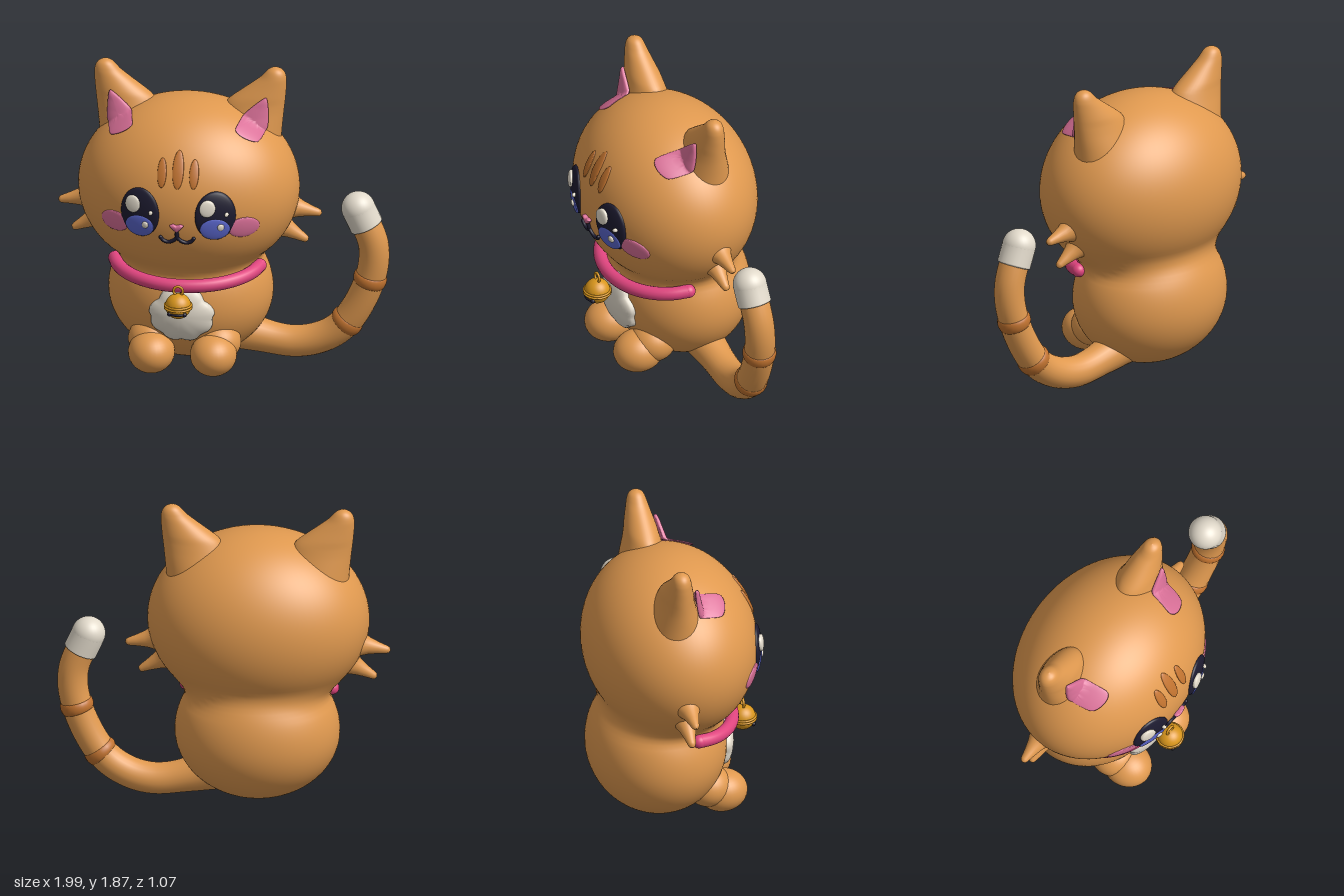
import * as THREE from 'three';
import { mergeVertices } from 'three/addons/utils/BufferGeometryUtils.js';

const mat = (name, color) => Object.assign(new THREE.MeshStandardMaterial({ color }), { name });
const M = {
  fur: mat('orangeFur', 0xe0994f), stripe: mat('darkOrange', 0xc0722f), white: mat('cream', 0xe2dacb),
  pink: mat('softPink', 0xda7098), collar: mat('collarPink', 0xe0457f), dark: mat('darkNavy', 0x1d1b30),
  blue: mat('irisBlue', 0x5a66cc), gold: mat('gold', 0xd9961c),
};
const V = (x, y, z) => new THREE.Vector3(x, y, z);

function mesh(parent, name, geo, material) {
  const m = new THREE.Mesh(geo, material);
  m.name = name;
  parent.add(m);
  return m;
}

// Weld seams and recompute normals after moving vertices
function smooth(geo) {
  geo.deleteAttribute('uv');
  geo.deleteAttribute('normal');
  const g = mergeVertices(geo, 1e-5);
  g.computeVertexNormals();
  return g;
}

const smax = (a, b, k) => {
  const h = Math.max(k - Math.abs(a - b), 0) / k;
  return Math.max(a, b) + h * h * k / 4;
};
const arc = (y, c, r) => Math.sqrt(Math.max(0, 1 - ((y - c) / r) ** 2));

// Head and body silhouette: two ellipsoids softly joined at the neck
function bodySection(y) {
  const h = arc(y, 1.13, 0.56), b = arc(y, 0.44, y < 0.44 ? 0.42 : 0.46);
  const end = Math.min(1, (y - 0.02) / 0.1, (1.69 - y) / 0.1);
  const k = 0.001 + 0.11 * Math.max(0, end);
  const rx = smax(0.665 * h, 0.495 * b, k);
  const front = smax(h > 0 ? 0.52 * h - 0.017 : -1, b > 0 ? 0.42 * b - 0.1 : -1, k);
  const back = smax(h > 0 ? 0.52 * h + 0.017 : -1, b > 0 ? 0.42 * b + 0.1 : -1, k);
  if (h === 0 && b === 0) return { x: 0, rx: 0, z: y > 1 ? -0.017 : -0.1, rz: 0 };
  return { x: 0, rx, z: (front - back) / 2, rz: (front + back) / 2 };
}

// Ear rows: y, outer x, inner x, half depth
const EAR = [
  [1.25, 0.5, 0.1, 0.2], [1.4, 0.545, 0.12, 0.17], [1.5, 0.553, 0.15, 0.145], [1.6, 0.563, 0.19, 0.115],
  [1.66, 0.57, 0.225, 0.1], [1.69, 0.573, 0.262, 0.095], [1.76, 0.579, 0.355, 0.075], [1.81, 0.58, 0.42, 0.062],
  [1.84, 0.573, 0.447, 0.053], [1.86, 0.56, 0.465, 0.043], [1.873, 0.54, 0.485, 0.026], [1.88, 0.512, 0.512, 0],
];
function earSection(y, s) {
  let i = 0;
  while (i < EAR.length - 2 && y > EAR[i + 1][0]) i++;
  const a = EAR[i], b = EAR[i + 1], t = THREE.MathUtils.clamp((y - a[0]) / (b[0] - a[0]), 0, 1);
  const [o, n, d] = [1, 2, 3].map((j) => a[j] + (b[j] - a[j]) * t);
  return { x: s * (o + n) / 2, rx: (o - n) / 2, z: -0.08, rz: d };
}

// Sphere vertices moved onto stacked elliptical sections
function loft(section, y0, y1, nu, nv) {
  const g = new THREE.SphereGeometry(1, nu, nv), p = g.attributes.position;
  for (let i = 0; i < p.count; i++) {
    const y = y0 + (y1 - y0) * (p.getY(i) + 1) / 2, c = section(y);
    const l = Math.hypot(p.getX(i), p.getZ(i));
    const dx = l > 1e-6 ? p.getX(i) / l : 0, dz = l > 1e-6 ? p.getZ(i) / l : 0;
    p.setXYZ(i, c.x + c.rx * dx, y, c.z + c.rz * dz);
  }
  return smooth(g);
}

// Front z of a lofted form at (x, y)
const frontZ = (c, x) => (Math.abs(x - c.x) < c.rx ? c.z + c.rz * arc(x, c.x, c.rx) : -1);
const skin = (x, y) => frontZ(bodySection(y), x);

// Pillow that follows a surface; outline(t) gives offsets, counterclockwise
const oval = (rx, ry) => (t) => [rx * Math.cos(t * 2 * Math.PI), ry * Math.sin(t * 2 * Math.PI)];
function pad(cx, cy, outline, thick, lift = 0, surf = skin) {
  const g = new THREE.SphereGeometry(1, 48, 20).rotateX(Math.PI / 2), p = g.attributes.position;
  for (let i = 0; i < p.count; i++) {
    const px = p.getX(i), py = p.getY(i), pz = p.getZ(i), s = Math.hypot(px, py);
    const [ox, oy] = outline((Math.atan2(py, px) / (2 * Math.PI) + 1) % 1);
    const x = cx + ox * s, y = cy + oy * s;
    p.setXYZ(i, x, y, surf(x, y) + lift + thick * Math.sign(pz) * Math.sqrt(Math.abs(pz)));
  }
  return smooth(g);
}
function polygon(pts, cx, cy) {
  const c = new THREE.CatmullRomCurve3(pts.map(([x, y]) => V(x - cx, y - cy, 0)), true, 'catmullrom', 0.3);
  return (t) => { const q = c.getPoint(t); return [q.x, q.y]; };
}

// Tube whose radius varies along its length
function tube(curve, radius, n = 48, sides = 24) {
  const g = new THREE.TubeGeometry(curve, n, 1, sides), p = g.attributes.position;
  for (let i = 0; i < p.count; i++) {
    const u = Math.floor(i / (sides + 1)) / n, c = curve.getPointAt(u);
    const q = V().fromBufferAttribute(p, i).sub(c).multiplyScalar(radius(u)).add(c);
    p.setXYZ(i, q.x, q.y, q.z);
  }
  return smooth(g);
}
const part = (curve, a, b) => new THREE.CatmullRomCurve3(
  Array.from({ length: 9 }, (_, i) => curve.getPointAt(a + (b - a) * i / 8)));

function ball(parent, name, r, pos, material, scale = [1, 1, 1]) {
  const m = mesh(parent, name, new THREE.SphereGeometry(r, 32, 24), material);
  m.position.copy(pos);
  m.scale.set(...scale);
}

export function createModel() {
  const root = new THREE.Group();
  root.name = 'cat';
  const cat = new THREE.Group();
  cat.name = 'sittingCat';
  cat.position.x = -0.2;
  root.add(cat);

  mesh(cat, 'headAndBody', loft(bodySection, 0.02, 1.69, 80, 90), M.fur);

  for (const s of [-1, 1]) {
    const side = s < 0 ? 'right' : 'left';
    // Ears with pink inner pads
    mesh(cat, side + 'Ear', loft((y) => earSection(y, s), 1.25, 1.88, 40, 48), M.fur);
    const pts = [[-0.47, 1.72], [-0.485, 1.55], [-0.44, 1.5], [-0.31, 1.58]].map(([x, y]) => [-s * x, y]);
    if (s > 0) pts.reverse();
    const earSkin = (x, y) => smax(skin(x, y), frontZ(earSection(y, s), x), 0.06);
    mesh(cat, side + 'InnerEar', pad(s * 0.42, 1.59, polygon(pts, s * 0.42, 1.59), 0.018, 0.022, earSkin), M.pink);

    // Cheek fur spikes
    const profile = [[0.1, 0], [0.07, 0.035], [0.05, 0.08], [0.035, 0.135], [0.024, 0.185], [0.017, 0.2], [0, 0.207]];
    const spikes = [[0.6, 1.0, 0.795, 0.962], [0.54, 0.88, 0.713, 0.785]];
    for (const [x0, y0, x1, y1] of spikes) {
      const spike = mesh(cat, side + 'CheekSpike',
        new THREE.LatheGeometry(profile.map(([r, y]) => new THREE.Vector2(r, y)), 24), M.fur);
      const dir = V(s * (x1 - x0), y1 - y0, 0).normalize();
      spike.position.copy(V(s * x1, y1, -0.065).addScaledVector(dir, -0.207));
      spike.quaternion.setFromUnitVectors(V(0, 1, 0), dir);
    }

    // Eyes; the highlights sit on the same side in both
    const ex = s * 0.227;
    mesh(cat, side + 'Eye', pad(ex, 1.118, oval(0.119, 0.155), 0.022), M.dark);
    mesh(cat, side + 'Iris', pad(ex, 1.04, oval(0.087, 0.07), 0.012, 0.016), M.blue);
    for (const [dx, y, rx, ry] of [[-0.042, 1.177, 0.047, 0.052], [0.07, 1.135, 0.012, 0.013], [0.036, 1.055, 0.02, 0.022]])
      mesh(cat, side + 'EyeHighlight', pad(ex + dx, y, oval(rx, ry), 0.016, 0.024), M.white);

    mesh(cat, side + 'Cheek', pad(s * 0.388, 1.03, oval(0.088, 0.066), 0.014), M.pink);
    mesh(cat, side + 'ForeheadStripe', pad(s * 0.097, 1.37, oval(0.028, 0.082), 0.012), M.stripe);
    const mouth = [[0, 1.025], [0, 0.985], [0.022, 0.958], [0.055, 0.945], [0.085, 0.955], [0.1, 0.975]]
      .map(([x, y]) => V(s * x, y, skin(s * x, y) + 0.008));
    mesh(cat, side + 'Mouth', tube(new THREE.CatmullRomCurve3(mouth), () => 0.011, 24, 10), M.dark);
    ball(cat, side + 'MouthEnd', 0.011, mouth[5], M.dark);

    ball(cat, side + 'Foot', 0.14, V(s * 0.187, 0.148, 0.26), M.fur, [1, 0.92, 1.1]);
    ball(cat, side + 'Leg', 0.14, V(s * 0.2, 0.2, 0.17), M.fur, [1, 0.9, 1]);
  }
  mesh(cat, 'foreheadStripe', pad(0, 1.39, oval(0.034, 0.106), 0.012), M.stripe);
  const nose = [[0.042, 1.06], [0.022, 1.07], [0, 1.063], [-0.022, 1.07], [-0.042, 1.06], [0, 1.02]];
  mesh(cat, 'nose', pad(0, 1.048, polygon(nose, 0, 1.048), 0.018, 0.012), M.pink);

  // Scalloped chest patch
  const bib = (t) => {
    const a = t * 2 * Math.PI, k = 0.92 + 0.1 * Math.abs(Math.sin(a * 4.5 + Math.PI / 4));
    return [0.2 * k * Math.cos(a) * (Math.sin(a) > 0 ? 1 - 0.3 * Math.sin(a) : 1), 0.185 * k * Math.sin(a)];
  };
  mesh(cat, 'chestPatch', pad(0, 0.42, bib, 0.05), M.white);

  // Collar across the front
  const collar = new THREE.CatmullRomCurve3(Array.from({ length: 13 }, (_, i) => {
    const a = (i / 6 - 1) * 1.38;
    return V(0.445 * Math.sin(a), 0.662 - 0.047 * Math.cos(a), 0.375 * Math.cos(a) - 0.02);
  }));
  mesh(cat, 'collar', tube(collar, () => 0.041, 48, 16), M.collar);
  for (const u of [0, 1]) ball(cat, 'collarEnd', 0.041, collar.getPoint(u), M.collar);

  // Bell
  const bell = new THREE.Group();
  bell.name = 'bell';
  bell.position.set(0, 0.52, 0.44);
  cat.add(bell);
  ball(bell, 'bellBody', 0.078, V(0, 0, 0), M.gold);
  for (const y of [-0.008, 0.008]) {
    const rim = mesh(bell, 'bellRim', new THREE.TorusGeometry(0.079, 0.007, 10, 40), M.gold);
    rim.rotation.x = Math.PI / 2;
    rim.position.y = y;
  }
  mesh(bell, 'bellLoop', new THREE.TorusGeometry(0.028, 0.008, 10, 28), M.gold).position.y = 0.095;
  const slot = [-0.045, -0.022, 0, 0.022, 0.045].map((x) => V(x, -0.035, Math.sqrt(0.0695 ** 2 - x * x)));
  mesh(bell, 'bellSlot', tube(new THREE.CatmullRomCurve3(slot), () => 0.008, 16, 10), M.dark);
  for (const i of [0, 4]) ball(bell, 'bellHole', 0.014, slot[i], M.dark);

  // Curled tail with bands and a pale tip
  const tail = new THREE.CatmullRomCurve3([
    V(0.2, 0.2, -0.12), V(0.4, 0.14, -0.13), V(0.62, 0.108, -0.13), V(0.79, 0.15, -0.12),
    V(0.935, 0.26, -0.107), V(1.08, 0.545, -0.09), V(1.105, 0.77, -0.075), V(1.015, 1.01, -0.06)]);
  mesh(cat, 'tail', tube(tail, (u) => 0.09 + 0.008 * (1 - u) + 0.05 * Math.max(0, 1 - u * 4.5) ** 2, 72), M.fur);
  for (const u of [0.5, 0.7])
    mesh(cat, 'tailBand', tube(part(tail, u - 0.024, u + 0.024),
      (t) => 0.08 + 0.022 * Math.sin(Math.PI * t) ** 0.35, 16), M.stripe);
  mesh(cat, 'tailTip', tube(part(tail, 0.92, 1), (t) => (t < 0.05 ? 0.085 : 0.102), 20), M.white);
  ball(cat, 'tailTipEnd', 0.102, tail.getPoint(1), M.white);

  return root;
}
